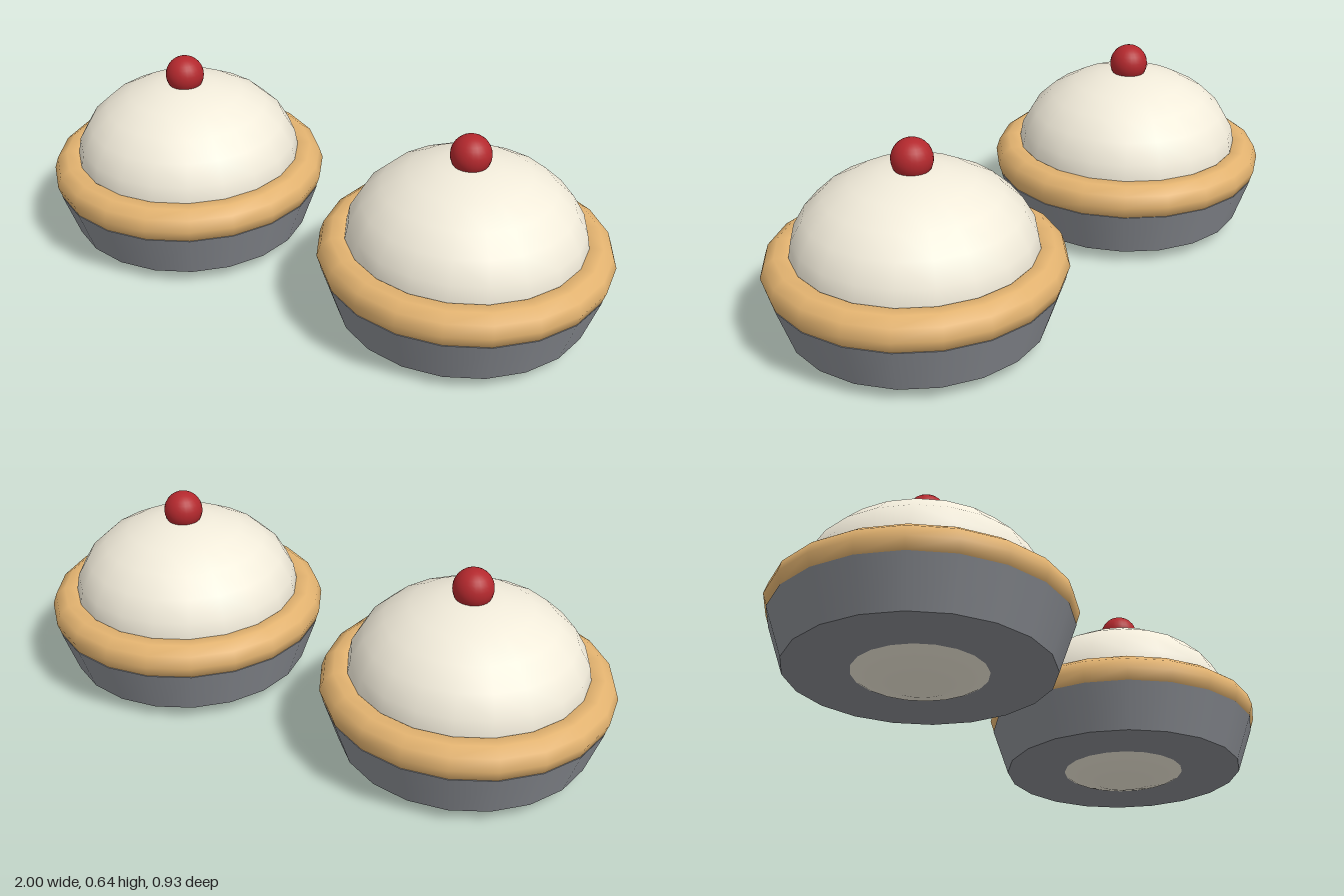
import * as THREE from 'three';

const SIDES = 20;

const material = (color) => new THREE.MeshStandardMaterial({ color });
const panMetal = material(0x8a8d93);
const pastry = material(0xe3b370);
const cream = material(0xf1ebda);
const cherryRed = material(0xb3282d);

function addPart(parent, name, geometry, mat, y) {
  const mesh = new THREE.Mesh(geometry, mat);
  mesh.name = name;
  mesh.position.y = y;
  parent.add(mesh);
  return mesh;
}

function createPie() {
  const pie = new THREE.Group();

  // Tapered tin with closed ends
  addPart(pie, 'pan', new THREE.CylinderGeometry(0.456, 0.404, 0.153, SIDES), panMetal, 0.1205);

  // Rounded pastry rim
  const rim = new THREE.TorusGeometry(0.403, 0.064, 10, SIDES).rotateX(-Math.PI / 2);
  addPart(pie, 'crustRim', rim, pastry, 0.236);

  // Flattened ball of cream; its underside pokes through the tin
  const filling = new THREE.SphereGeometry(1, SIDES, 12).scale(0.383, 0.275, 0.383);
  addPart(pie, 'creamFilling', filling, cream, 0.275);

  // Cherry on top
  addPart(pie, 'cherry', new THREE.SphereGeometry(0.064, 24, 16), cherryRed, 0.576);

  return pie;
}

export function createModel() {
  const model = new THREE.Group();
  model.name = 'pies';
  for (const side of [-1, 1]) {
    const pie = createPie();
    pie.name = side > 0 ? 'leftPie' : 'rightPie';
    pie.position.x = side * 0.533;
    model.add(pie);
  }
  return model;
}
